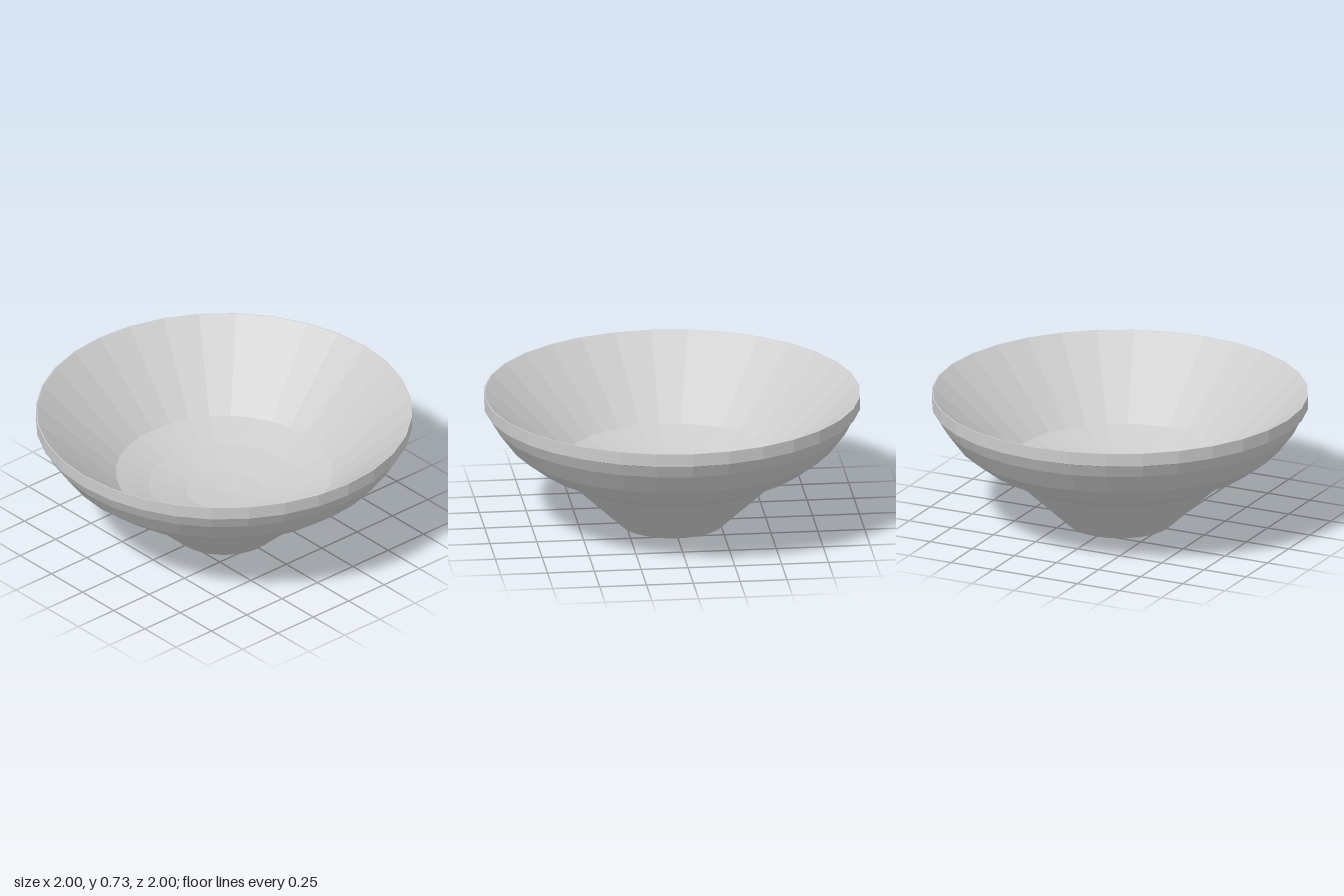
import * as THREE from 'three';

const SIDES = 32;

export function createModel() {
  const model = new THREE.Group();
  model.name = 'bowl';
  const material = new THREE.MeshStandardMaterial({ color: 0xcccccc, flatShading: true });

  // Turns a [radius, height] profile about the y axis; the profile runs
  // from the underside, up the outside, then down the inside.
  function turned(name, profile) {
    const points = profile.map(([r, y]) => new THREE.Vector2(r, y));
    const mesh = new THREE.Mesh(new THREE.LatheGeometry(points, SIDES), material);
    mesh.name = name;
    model.add(mesh);
  }

  // Tapered foot with a closed underside
  turned('foot', [[0, 0], [0.28, 0], [0.58, 0.28]]);

  // Rounded outer shell
  turned('outerShell', [[0.58, 0.28], [0.735, 0.36], [0.865, 0.46], [0.955, 0.58], [0.99, 0.65]]);

  // Upright band around the lip, with a small step below and a thin top edge
  turned('rim', [[0.99, 0.65], [1, 0.655], [1, 0.725], [0.994, 0.725]]);

  // Straight conical inside wall
  turned('innerWall', [[0.994, 0.725], [0.575, 0.345]]);

  // Shallow dished floor following a parabola
  const floor = [0.575, 0.4, 0.2, 0].map((r) => [r, 0.215 + 0.393 * r * r]);
  turned('innerFloor', floor);

  return model;
}
